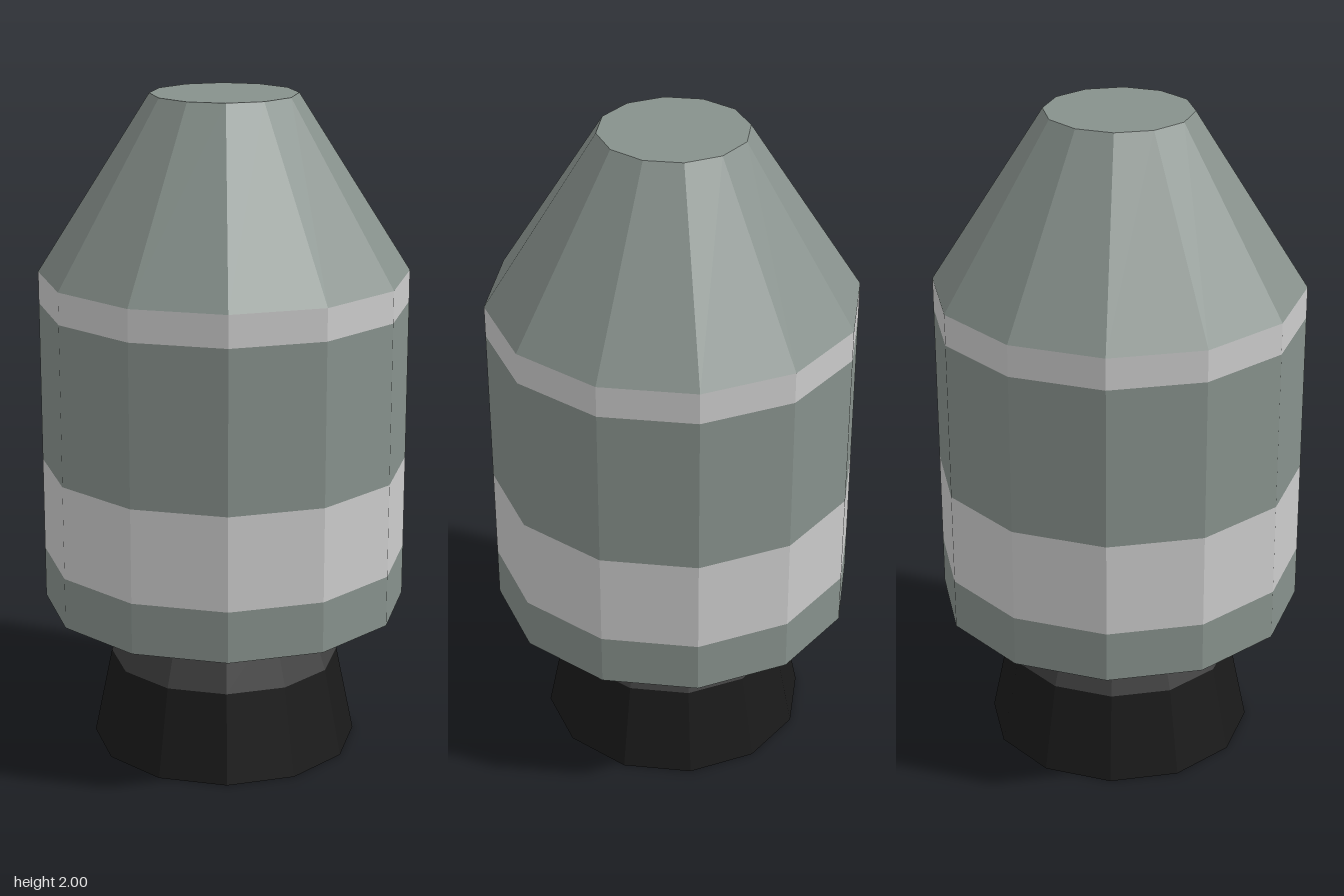
import * as THREE from 'three';

const SIDES = 12;
const paint = (color, side = THREE.FrontSide) =>
  new THREE.MeshStandardMaterial({ color, flatShading: true, side });

export function createModel() {
  const group = new THREE.Group();
  const hull = paint(0x87918c);
  const band = paint(0xcccccc);
  const collar = paint(0x404040);
  const bell = paint(0x1a1a1a);

  // Faceted ring between two heights, left open unless it ends the hull
  function ring(name, y0, y1, r0, r1, material) {
    const geo = new THREE.CylinderGeometry(r1, r0, y1 - y0, SIDES, 1, true);
    const mesh = new THREE.Mesh(geo, material);
    mesh.name = name;
    mesh.position.y = (y0 + y1) / 2;
    group.add(mesh);
  }

  // Flat end of the hull, facing up or down
  function cap(name, y, r, up, material) {
    const geo = new THREE.CircleGeometry(r, SIDES);
    geo.rotateX(up ? -Math.PI / 2 : Math.PI / 2);
    const mesh = new THREE.Mesh(geo, material);
    mesh.name = name;
    mesh.position.y = y;
    group.add(mesh);
  }

  // Hull, from the base to the blunt nose
  const R = 0.55;
  cap('hullBase', 0.455, R, false, hull);
  ring('lowerHull', 0.455, 0.61, R, R, hull);
  ring('wideBand', 0.61, 0.895, R, R, band);
  ring('upperHull', 0.895, 1.38, R, R, hull);
  ring('narrowBand', 1.38, 1.475, R, R, band);
  ring('noseCone', 1.475, 2, R, 0.217, hull);
  cap('noseTop', 2, 0.217, true, hull);

  // Engine nozzle: collar, then a thick bell with a hollow inside
  ring('nozzleCollar', 0.27, 0.455, 0.35, 0.285, collar);
  const profile = [[0, 0.27], [0.25, 0.27], [0.305, 0], [0.405, 0], [0.35, 0.27]]
    .map(([r, y]) => new THREE.Vector2(r, y));
  const nozzle = new THREE.Mesh(new THREE.LatheGeometry(profile, SIDES), bell);
  nozzle.name = 'nozzleBell';
  group.add(nozzle);

  return group;
}
